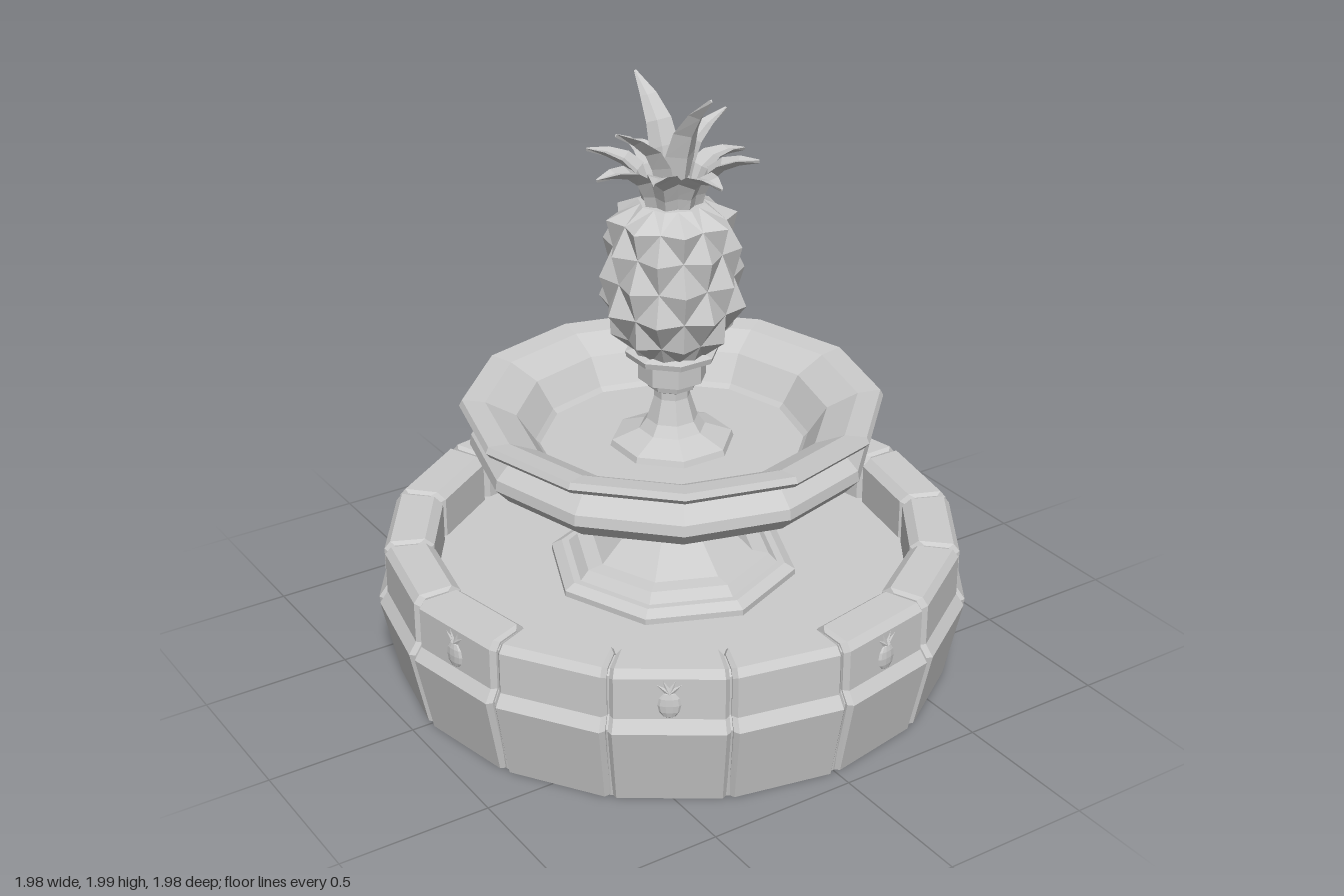
import * as THREE from 'three';

const stone = new THREE.MeshStandardMaterial({ color: 0xcccccc, flatShading: true });

function add(parent, name, geometry) {
  const mesh = new THREE.Mesh(geometry, stone);
  mesh.name = name;
  parent.add(mesh);
  return mesh;
}

function fromTriangles(points) {
  const g = new THREE.BufferGeometry().setFromPoints(points);
  g.computeVertexNormals();
  return g;
}

// Closed skin over a row of equal loops, capped at both ends
function loft(loops) {
  const tris = [], n = loops[0].length, last = loops.length - 1;
  const centre = (loop) => loop.reduce((s, p) => s.add(p), new THREE.Vector3()).divideScalar(n);
  for (let j = 0; j < n; j++) {
    const k = (j + 1) % n;
    for (let i = 0; i < last; i++) {
      const a = loops[i][j], b = loops[i][k], c = loops[i + 1][k], d = loops[i + 1][j];
      tris.push(a, b, c, a, c, d);
    }
    tris.push(centre(loops[0]), loops[0][k], loops[0][j]);
    tris.push(centre(loops[last]), loops[last][j], loops[last][k]);
  }
  return fromTriangles(tris);
}

function lathe(profile, sides, start = 0) {
  return new THREE.LatheGeometry(profile.map(([r, y]) => new THREE.Vector2(r, y)), sides, start);
}

// One bevelled wall block, centred on +z
function blockGeometry(half) {
  const profile = [[0.8, 0.45], [0.83, 0.475], [0.945, 0.475], [0.965, 0.45], [0.965, 0.31],
    [0.992, 0.27], [0.935, 0], [0.8, 0]];
  const section = (a, inset) => profile.map(([r, y]) => {
    const rr = (r + (r > 0.88 ? -inset : inset)) * Math.cos(half) / Math.cos(a);
    const yy = y > 0.4 ? y - inset * 0.5 : y;
    return new THREE.Vector3(rr * Math.sin(a), yy, rr * Math.cos(a));
  });
  const end = half - 0.004, full = half - 0.02;
  return loft([section(-end, 0.018), section(-full, 0), section(full, 0), section(end, 0.018)]);
}

// Small carved fruit on a block face, facing +z
function emblem() {
  const g = new THREE.Group();
  g.name = 'carvedFruit';
  add(g, 'carvedFruitBody', new THREE.SphereGeometry(1, 10, 6)).scale.set(0.036, 0.046, 0.012);
  for (const t of [-0.9, -0.4, 0.4, 0.9]) {
    const leaf = add(g, 'carvedFruitLeaf', new THREE.ConeGeometry(0.012, 0.05, 4));
    leaf.scale.z = 0.6;
    leaf.rotation.z = -t;
    leaf.position.set(Math.sin(t) * 0.024, 0.042 + Math.cos(t) * 0.022, 0);
  }
  return g;
}

// Fruit skin: staggered rows of raised four-sided studs
function fruitGeometry() {
  const n = 8;
  const rows = [[0.115, 1.1], [0.165, 1.17], [0.205, 1.27], [0.2, 1.37], [0.19, 1.47], [0.175, 1.56], [0.1, 1.61]];
  const at = (j, k, lift = 0) => {
    const [r, y] = rows[j], a = k * Math.PI / n;
    return new THREE.Vector3((r + lift) * Math.sin(a), y, (r + lift) * Math.cos(a));
  };
  const tris = [], last = rows.length - 1, tip = new THREE.Vector3(0, 1.62, 0);
  for (let j = 0; j <= last; j++) {
    for (let i = 0; i < n; i++) {
      const k = 2 * i + (j % 2);
      const left = at(j, k - 1), right = at(j, k + 1);
      const apex = at(j, k, j === 0 || j === last ? 0.01 : 0.036);
      if (j < last) {
        const top = at(j + 1, k);
        tris.push(apex, right, top, apex, top, left);
      }
      if (j > 0) {
        const low = at(j - 1, k);
        tris.push(apex, left, low, apex, low, right);
      }
      // Closing cap
      if (j === last) tris.push(tip, left, apex, tip, apex, right);
    }
  }
  return fromTriangles(tris);
}

// Folded leaf along a curve of [out, y] points, leaning toward +z
function leafGeometry(points, width) {
  const curve = new THREE.CatmullRomCurve3(points.map(([z, y]) => new THREE.Vector3(0, y, z)));
  const X = new THREE.Vector3(1, 0, 0), loops = [], steps = 5;
  const widths = [0.75, 0.95, 1, 0.85, 0.55, 0.08];
  for (let i = 0; i <= steps; i++) {
    const p = curve.getPoint(i / steps), w = width * widths[i];
    const up = curve.getTangent(i / steps).cross(X);
    const corner = (x, h) => p.clone().addScaledVector(X, x).addScaledVector(up, h);
    loops.push([corner(w, w * 0.2), corner(0, 0), corner(-w, w * 0.2), corner(0, -0.008 - w * 0.3)]);
  }
  return loft(loops);
}

export function createModel() {
  const model = new THREE.Group();
  model.name = 'fountain';

  // Lower basin: sixteen blocks over a recessed core
  const basin = new THREE.Group();
  basin.name = 'basin';
  model.add(basin);
  const count = 16, half = Math.PI / count;
  const block = blockGeometry(half);
  for (let i = 0; i < count; i++) {
    const a = (2 * i + 1) * half;
    add(basin, 'wallBlock', block).rotation.y = a;
    if (i % 2 === 0) {
      const e = emblem(), r = 0.965 * Math.cos(half);
      e.position.set(r * Math.sin(a), 0.36, r * Math.cos(a));
      e.rotation.y = a;
      basin.add(e);
    }
  }
  add(basin, 'basinCore', lathe([[0, 0], [0.92, 0], [0.965, 0.27], [0.94, 0.31], [0.94, 0.445],
    [0.92, 0.46], [0.845, 0.46], [0.82, 0.44], [0.82, 0.31], [0, 0.31]], count));

  // Pedestal with stepped foot
  add(model, 'pedestal', lathe([[0.42, 0.3], [0.42, 0.33], [0.385, 0.35], [0.36, 0.35], [0.33, 0.38],
    [0.275, 0.385], [0.175, 0.48], [0.133, 0.575], [0.137, 0.64], [0.18, 0.67], [0.3, 0.715]], 8));

  // Upper bowl with a broad sloping rim
  add(model, 'upperBowl', lathe([[0, 0.69], [0.26, 0.695], [0.5, 0.705], [0.62, 0.725], [0.665, 0.775], [0.66, 0.81],
    [0.61, 0.86], [0.575, 0.875], [0.62, 0.882], [0.68, 0.897], [0.695, 0.915], [0.685, 0.935], [0.61, 0.925],
    [0.51, 0.875], [0.45, 0.785], [0.435, 0.77], [0, 0.77]], 12));

  // Stem and collar
  add(model, 'stem', lathe([[0.21, 0.76], [0.2, 0.79], [0.11, 0.825], [0.085, 0.86], [0.06, 0.94], [0.06, 0.965],
    [0.08, 0.975], [0.085, 0.995], [0.112, 1.005], [0.112, 1.075], [0.15, 1.085], [0.155, 1.105],
    [0.12, 1.115], [0, 1.12]], 8, Math.PI / 8));

  // Fruit finial and crown
  const finial = new THREE.Group();
  finial.name = 'fruitFinial';
  model.add(finial);
  add(finial, 'fruitBody', fruitGeometry());
  const crown = [
    { n: 4, start: 0, width: 0.055, path: [[0.07, 1.58], [0.1, 1.69], [0.17, 1.74], [0.275, 1.735]] },
    { n: 4, start: Math.PI / 4, width: 0.055, path: [[0.07, 1.58], [0.1, 1.69], [0.17, 1.75], [0.275, 1.765]] },
    { n: 2, start: 0.08, width: 0.058, path: [[0.03, 1.6], [0.045, 1.75], [0.09, 1.88], [0.19, 1.99]] },
    { n: 2, start: Math.PI / 2 + 0.08, width: 0.055, path: [[0.03, 1.6], [0.05, 1.72], [0.1, 1.81], [0.215, 1.875]] },
  ];
  for (const { n, start, width, path } of crown) {
    const leaf = leafGeometry(path, width);
    for (let i = 0; i < n; i++) add(finial, 'crownLeaf', leaf).rotation.y = start + i * 2 * Math.PI / n;
  }
  add(finial, 'crownCore', new THREE.CylinderGeometry(0.05, 0.1, 0.12, 8)).position.y = 1.65;
  return model;
}
